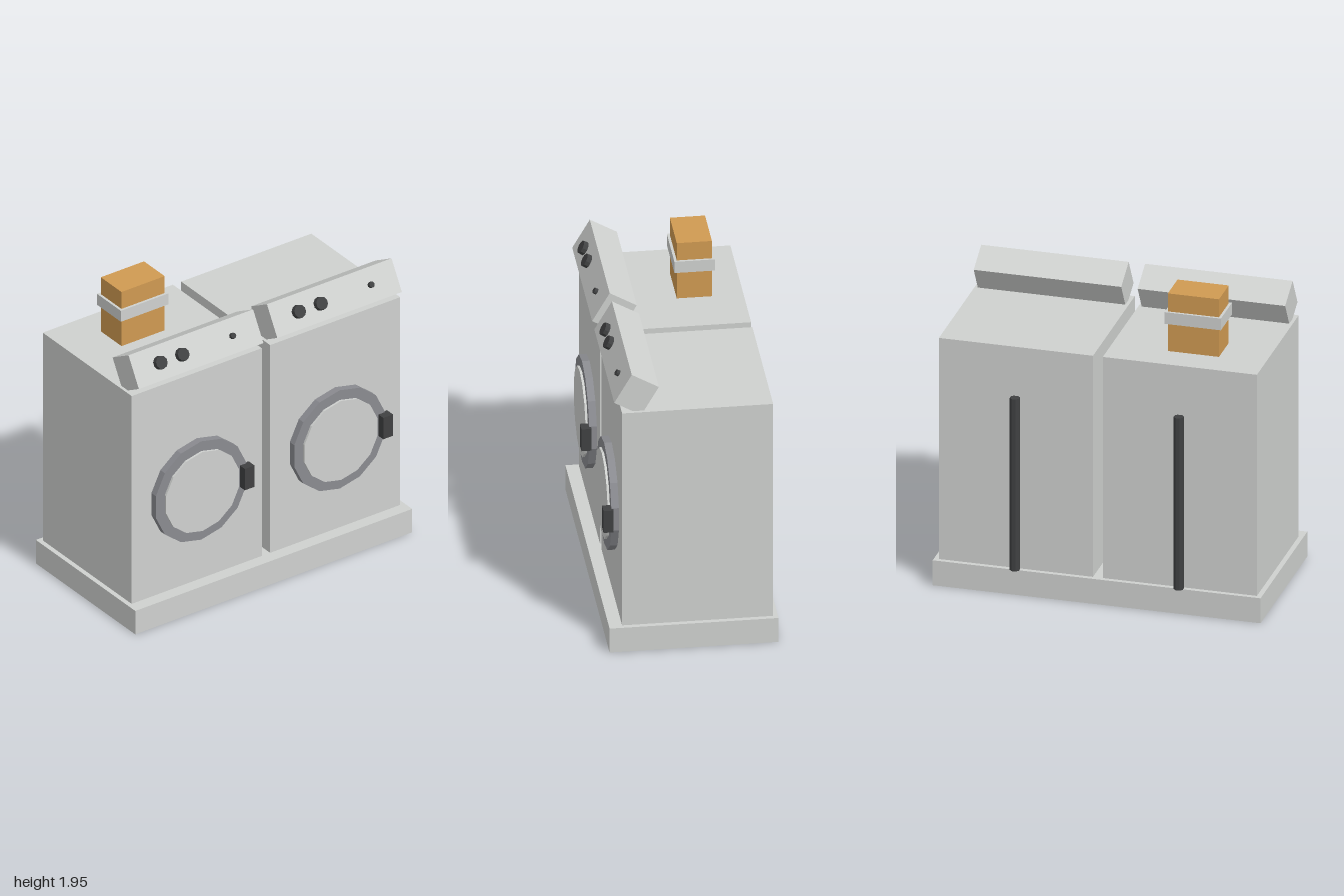
import * as THREE from 'three';

const flat = (name, color) => {
  const m = new THREE.MeshStandardMaterial({ color });
  m.name = name;
  return m;
};

export function createModel() {
  const shell = flat('light grey enamel', 0xcfd1cf);
  const rim = flat('steel grey', 0x8a8b90);
  const dark = flat('dark grey', 0x404142);
  const tan = flat('tan duct', 0xd09a52);

  const add = (parent, name, geometry, material, x, y, z) => {
    const mesh = new THREE.Mesh(geometry, material);
    mesh.name = name;
    mesh.position.set(x, y, z);
    parent.add(mesh);
    return mesh;
  };
  const box = (w, h, d) => new THREE.BoxGeometry(w, h, d);
  // Faceted cylinder; a forward one has its axis along z and a corner at the top
  const prism = (rTop, rBottom, h, sides) =>
    new THREE.CylinderGeometry(rTop, rBottom, h, sides).toNonIndexed();
  const forward = (rFront, rBack, depth, sides) => {
    const g = prism(rFront, rBack, depth, sides).rotateX(Math.PI / 2);
    if (sides % 4) g.rotateZ(Math.PI);
    g.computeVertexNormals();
    return g;
  };

  const model = new THREE.Group();
  model.name = 'laundryPair';
  add(model, 'plinth', box(2, 0.16, 1), shell, 0, 0.08, 0);

  // Two matching machines side by side
  for (const x of [-0.5, 0.5]) {
    const machine = new THREE.Group();
    machine.name = x < 0 ? 'rightMachine' : 'leftMachine';
    machine.position.x = x;
    model.add(machine);

    add(machine, 'cabinet', box(0.94, 1.42, 0.894), shell, 0, 0.87, -0.025);

    // Round door
    add(machine, 'doorRim', forward(0.336, 0.336, 0.05, 14), rim, 0, 0.793, 0.442);
    add(machine, 'doorPanel', forward(0.27, 0.27, 0.03, 14), shell, 0, 0.793, 0.466);
    add(machine, 'doorHandle', box(0.07, 0.146, 0.06), dark, 0.315, 0.793, 0.486);

    // Tilted control panel with knobs
    const controls = new THREE.Group();
    controls.name = 'controls';
    controls.position.set(0, 1.687, 0.334);
    controls.rotation.x = -Math.PI / 6;
    machine.add(controls);
    add(controls, 'controlPanel', box(0.9, 0.208, 0.185), shell, 0, 0, 0);
    for (const [kx, r] of [[-0.265, 0.042], [-0.107, 0.042], [0.26, 0.019]]) {
      const depth = r > 0.03 ? 0.03 : 0.02;
      add(controls, 'knob', forward(r * 0.95, r, depth, 10), dark, kx, 0, 0.0925 + depth / 2);
    }

    // Pipe up the back
    const pipe = prism(0.03, 0.03, 1.105, 8).rotateY(Math.PI / 8);
    pipe.computeVertexNormals();
    add(machine, 'backPipe', pipe, dark, 0, 0.7125, -0.497);
  }

  // Vent duct and its strap
  add(model, 'duct', box(0.312, 0.37, 0.208), tan, -0.529, 1.765, -0.181);
  add(model, 'ductStrap', box(0.344, 0.075, 0.24), shell, -0.529, 1.797, -0.181);

  return model;
}
